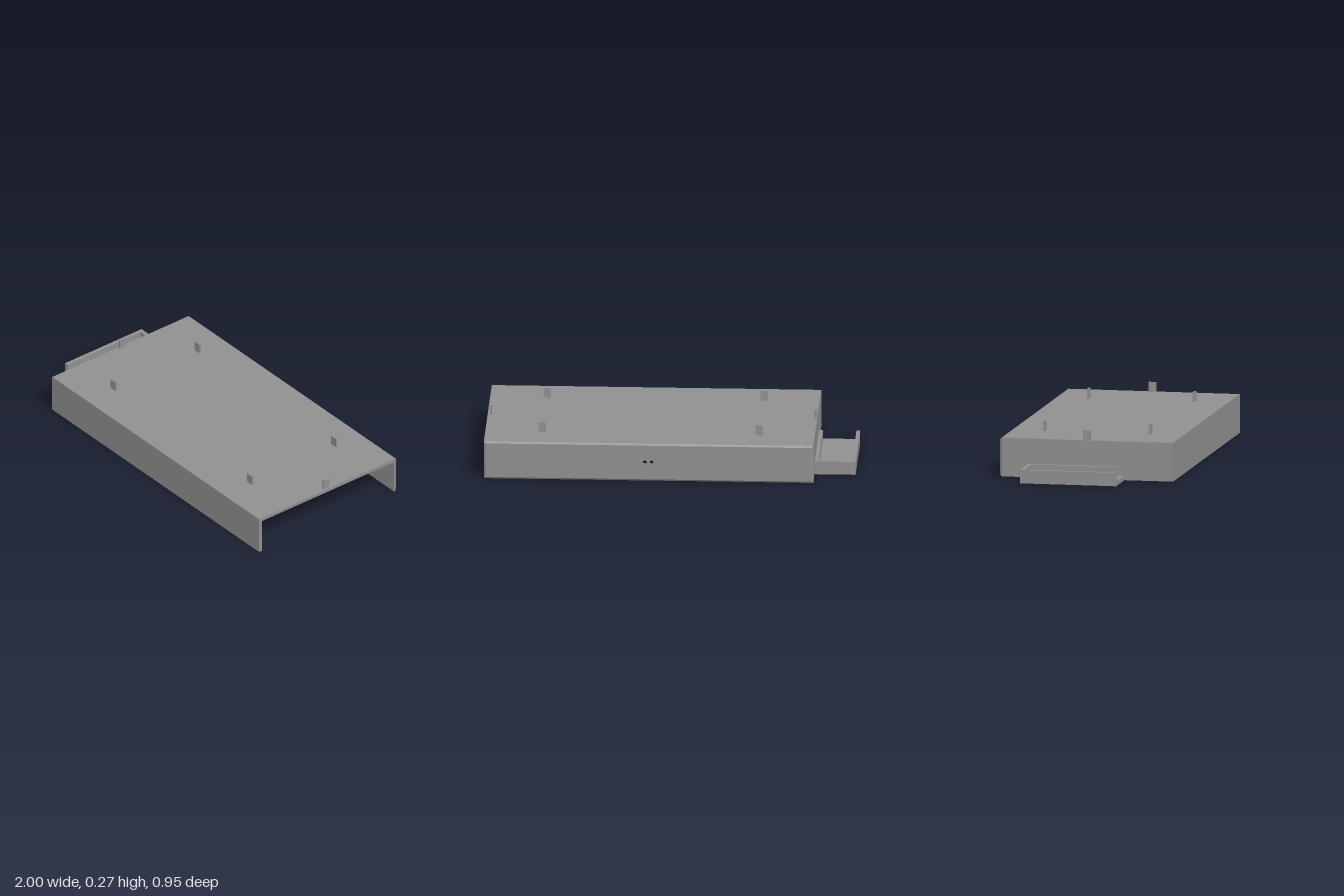
import * as THREE from 'three';

export function createModel() {
  const group = new THREE.Group();
  const grey = new THREE.MeshStandardMaterial({ color: 0x909090 });
  grey.name = 'plainGrey';

  // Box given by its lower and upper limits on each axis
  const block = (name, [x0, x1], [y0, y1], [z0, z1]) => {
    const mesh = new THREE.Mesh(new THREE.BoxGeometry(x1 - x0, y1 - y0, z1 - z0), grey);
    mesh.position.set((x0 + x1) / 2, (y0 + y1) / 2, (z0 + z1) / 2);
    mesh.name = name;
    group.add(mesh);
  };

  const L = -0.778, R = 1, H = 0.211, Z = 0.477, T = 0.019;

  // Cover: open underneath and at the +x end
  block('topPanel', [L, R], [H - T, H], [-Z + T, Z]);
  block('frontWall', [L, R], [0, H - T], [Z - T, Z]);
  block('endWall', [L, L + T], [0, H - T], [-Z + T, Z - T]);

  // Back wall with two small holes and chamfered outer edges
  const shape = new THREE.Shape();
  shape.moveTo(L, 0).lineTo(R, 0).lineTo(R, H).lineTo(L, H).closePath();
  for (const x of [0.095, 0.131]) {
    const hole = new THREE.Path();
    hole.absarc(x, H / 2, 0.011, 0, Math.PI * 2, true);
    shape.holes.push(hole);
  }
  const back = new THREE.ExtrudeGeometry(shape, { depth: T, steps: 2, bevelEnabled: false, curveSegments: 16 });
  const p = back.attributes.position, c = 0.01;
  for (let i = 0; i < p.count; i++) {
    if (p.getZ(i) > 0.001) continue;
    p.setX(i, THREE.MathUtils.clamp(p.getX(i), L + c, R - c));
    p.setY(i, THREE.MathUtils.clamp(p.getY(i), c, H - c));
  }
  back.computeVertexNormals();
  const backWall = new THREE.Mesh(back, grey);
  backWall.name = 'backWall';
  backWall.position.z = -Z;
  group.add(backWall);

  // Upright tabs on the top panel
  const tabY = [H, 0.265];
  for (const x of [-0.479, 0.693])
    for (const z of [-0.291, 0.291])
      block('sideTab', [x - 0.02, x + 0.02], tabY, [z - 0.006, z + 0.006]);
  for (const x of [-0.767, 0.983])
    block('endTab', [x - 0.005, x + 0.005], tabY, [-0.021, 0.021]);

  // Side tray, open towards the front
  const trayZ = [-0.32, 0.21], f = 0.025, h = 0.073;
  block('trayFloor', [-1, L], [0, f], trayZ);
  block('trayOuterWall', [-1, -0.98], [f, h], trayZ);
  block('trayInnerWall', [-0.8, L], [f, h], trayZ);
  block('trayBackWall', [-0.98, -0.8], [f, h], [-0.32, -0.297]);

  return group;
}
